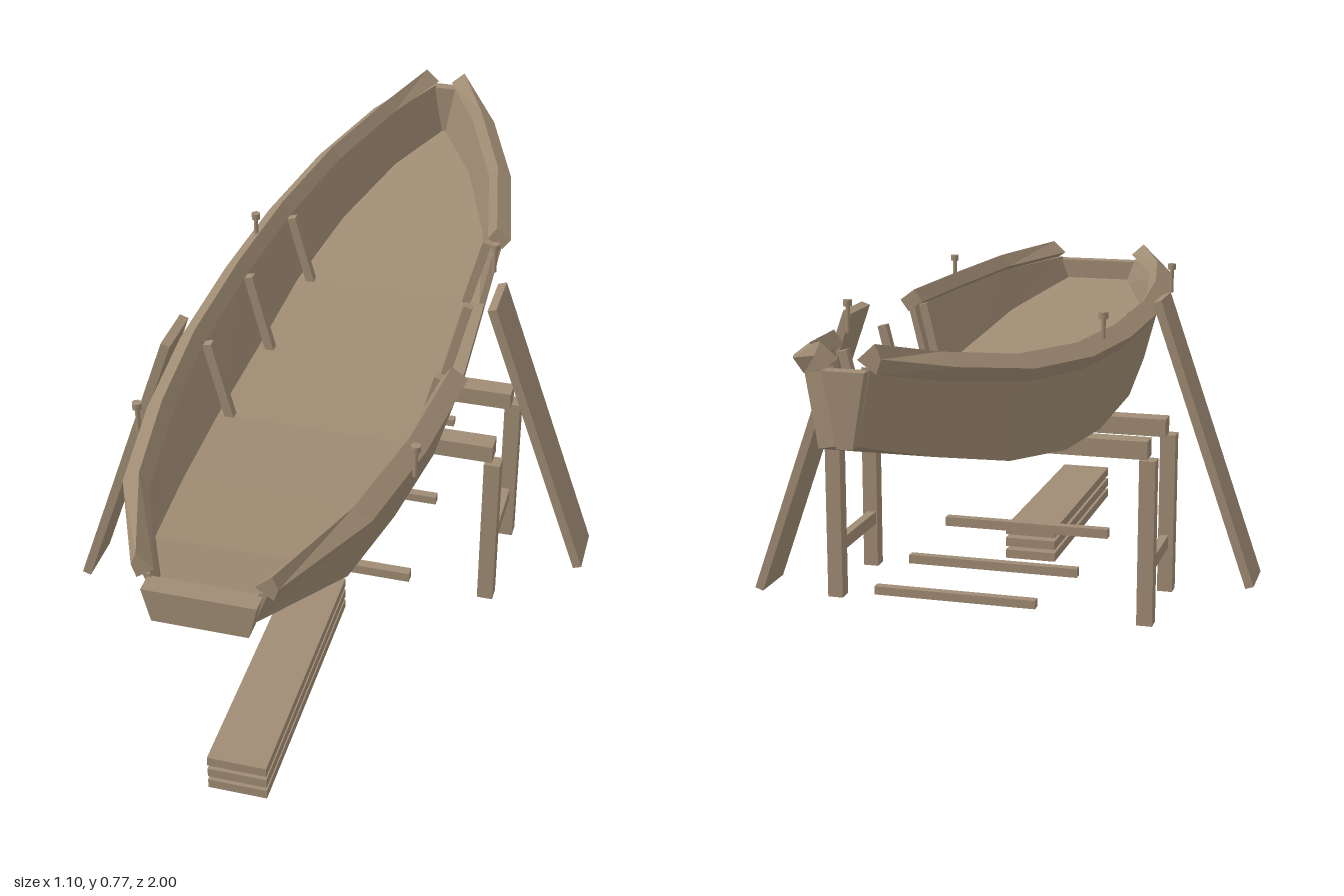
import * as THREE from 'three';

const wood = new THREE.MeshStandardMaterial({ color: 0xa08c74 });
wood.name = 'bare wood';

// Hull stations: z, floor half width, floor y, side top half width, side top y
const stations = [
  [0.965, 0.09, 0.565, 0.115, 0.625],
  [0.73, 0.195, 0.505, 0.22, 0.617],
  [0.48, 0.225, 0.465, 0.265, 0.608],
  [0.21, 0.245, 0.432, 0.29, 0.605],
  [-0.1, 0.245, 0.425, 0.29, 0.605],
  [-0.37, 0.235, 0.445, 0.27, 0.615],
  [-0.63, 0.19, 0.485, 0.22, 0.64],
  [-0.84, 0.11, 0.54, 0.135, 0.68],
  [-0.975, 0.015, 0.585, 0.04, 0.715],
];

// Flat-shaded solid through cross-sections that run from front to back
function loft(rings) {
  const pos = [];
  const tri = (a, b, c) => pos.push(...a, ...b, ...c);
  const n = rings[0].length;
  for (let k = 0; k < rings.length - 1; k++) {
    const a = rings[k], b = rings[k + 1];
    for (let i = 0; i < n; i++) {
      const j = (i + 1) % n;
      tri(a[i], b[i], b[j]);
      tri(a[i], b[j], a[j]);
    }
  }
  const first = rings[0], last = rings[rings.length - 1];
  for (let i = 1; i < n - 1; i++) {
    tri(first[0], first[i], first[i + 1]);
    tri(last[0], last[i + 1], last[i]);
  }
  const geo = new THREE.BufferGeometry();
  geo.setAttribute('position', new THREE.Float32BufferAttribute(pos, 3));
  geo.computeVertexNormals();
  return geo;
}

// Anticlockwise section at depth z, mirrored for side = -1
function ring(points, z, side = 1) {
  const r = points.map(([x, y]) => [x * side, y, z]);
  return side < 0 ? r.reverse() : r;
}

const sidePlank = (list, side) => loft(list.map(([z, fx, fy, tx, ty]) =>
  ring([[fx - 0.015, fy + 0.003], [fx, fy], [tx, ty + 0.01], [tx - 0.015, ty + 0.01]], z, side)));

// Rail has a tilted square section, slightly turned in at the ends
const gunwale = (list, side) => loft(list.map(([z, , , tx, ty]) => {
  const end = Math.abs(z) > 0.9;
  const cx = tx - (end ? -0.004 : 0.007), cy = ty + 0.025;
  const outer = end ? 0.016 : 0.027;
  return ring([[cx - 0.027, cy - 0.003], [cx + 0.007, cy - 0.027],
    [cx + outer, cy], [cx - (end ? -0.005 : 0.007), cy + 0.026]], z, side);
}));

export function createModel() {
  const model = new THREE.Group();
  model.name = 'boatUnderConstruction';

  const add = (name, geo, x = 0, y = 0, z = 0, parent = model) => {
    const mesh = new THREE.Mesh(geo, wood);
    mesh.name = name;
    mesh.position.set(x, y, z);
    parent.add(mesh);
    return mesh;
  };
  const box = (name, w, h, d, x, y, z) => add(name, new THREE.BoxGeometry(w, h, d), x, y, z);
  // Board leaning between two points in the xy plane
  const leaning = (name, x0, y0, x1, y1, thick, depth, z) => {
    const dx = x1 - x0, dy = y1 - y0;
    const b = box(name, thick, Math.hypot(dx, dy), depth, (x0 + x1) / 2, (y0 + y1) / 2, z);
    b.rotation.z = -Math.atan2(dx, dy);
  };

  // Hull floor
  add('hullFloor', loft(stations.map(([z, fx, fy]) =>
    ring([[-fx, fy], [fx, fy], [fx, fy + 0.016], [-fx, fy + 0.016]], z))));

  // Sides and rails, with an unfinished opening amidships on the left
  for (const [list, side] of [[stations, -1], [stations.slice(0, 4), 1], [stations.slice(5), 1]]) {
    add('sidePlanking', sidePlank(list, side));
    add('gunwale', gunwale(list, side));
  }

  // End boards
  const transom = [[-0.09, 0.56], [0.09, 0.56], [0.106, 0.628], [-0.106, 0.628]];
  add('transom', loft([ring(transom, 1.0), ring(transom, 0.96)]));
  const stem = [[-0.015, 0.585], [0.015, 0.585], [0.038, 0.72], [-0.038, 0.72]];
  add('stemBoard', loft([ring(stem, -0.972), ring(stem, -1.0)]));

  // Ribs, and the loose floor timbers below them
  for (const [z, bottom, top, y] of [[0.205, 0.205, 0.25, 0.44], [-0.085, 0.205, 0.25, 0.44], [-0.375, 0.19, 0.235, 0.455]]) {
    for (const s of [-1, 1]) leaning('rib', s * bottom, y, s * top, 0.625, 0.02, 0.02, z);
  }
  box('looseTimber', 0.4, 0.022, 0.022, 0, 0.094, 0.213);
  box('looseTimber', 0.39, 0.02, 0.02, 0, 0.09, -0.08);
  box('looseTimber', 0.35, 0.018, 0.02, 0, 0.113, -0.37);

  // Rail pegs
  for (const s of [-1, 1]) {
    for (const [z, y] of [[0.545, 0.62], [-0.23, 0.633]]) {
      const peg = new THREE.Group();
      peg.name = 'railPeg';
      peg.position.set(s * 0.278, y, z);
      add('pegShaft', new THREE.CylinderGeometry(0.005, 0.005, 0.06, 8), 0, 0.03, 0, peg);
      add('pegHead', new THREE.CylinderGeometry(0.01, 0.01, 0.014, 8), 0, 0.064, 0, peg);
      model.add(peg);
    }
  }

  // Trestle
  for (const s of [-1, 1]) {
    box('trestleBeam', 0.71, 0.04, 0.045, 0, 0.39, s * 0.105);
    for (const sx of [-1, 1]) box('trestleLeg', 0.035, 0.37, 0.035, sx * 0.357, 0.185, s * 0.12);
    box('trestleStretcher', 0.02, 0.03, 0.24, s * 0.353, 0.12, 0);
  }

  // Leaning props
  leaning('leftProp', 0.543, 0.003, 0.313, 0.66, 0.02, 0.12, -0.08);
  leaning('rightProp', -0.543, 0.003, -0.313, 0.66, 0.02, 0.12, 0.23);

  // Stack of spare planks
  for (let i = 0; i < 3; i++) box('sparePlank', 0.122, 0.021, 0.6, 0, 0.0105 + i * 0.03, 0.547);

  return model;
}
